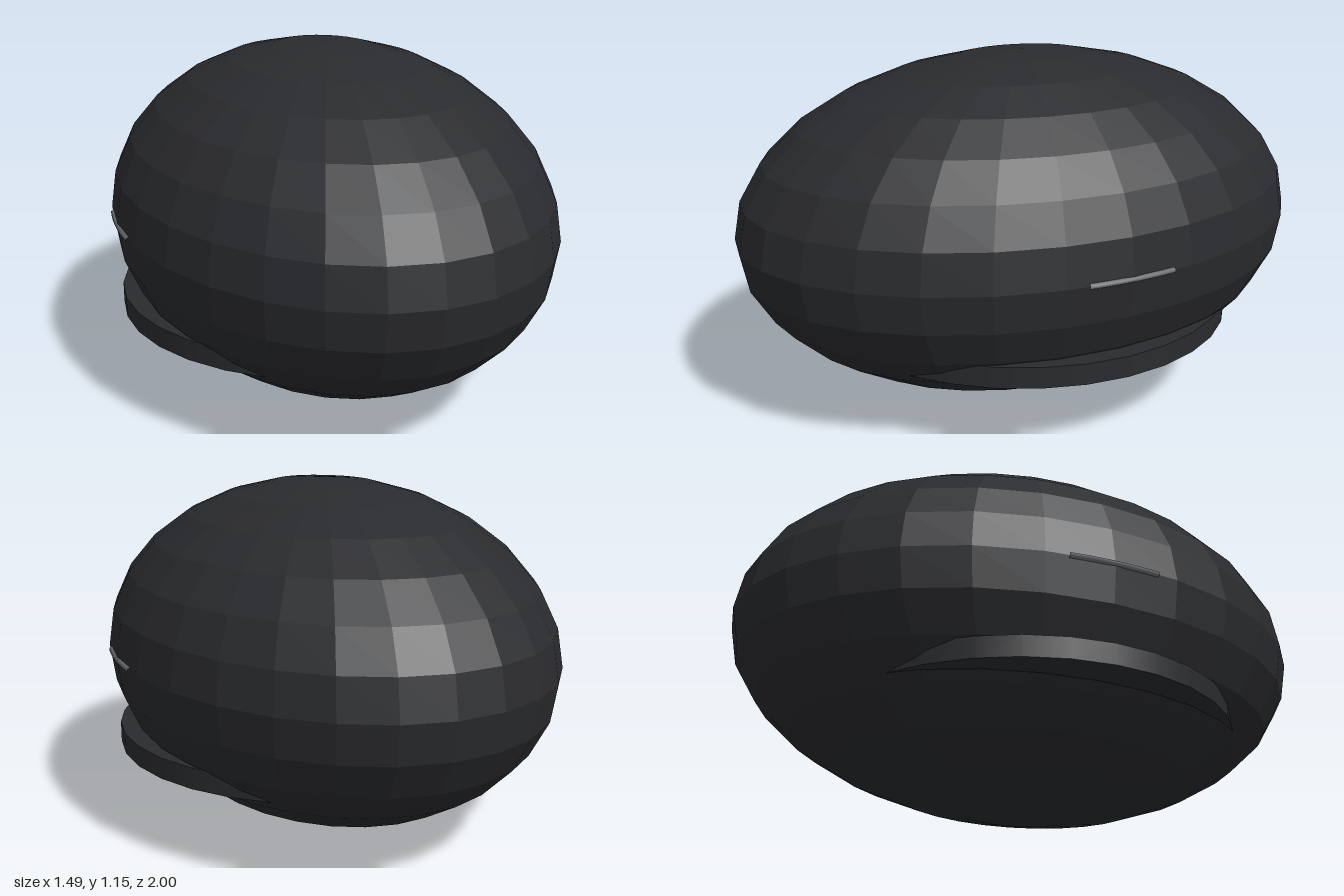
import * as THREE from 'three';

const RX = 0.738, RY = 0.577, RZ = 1, CY = 0.577;

function part(name, geometry, color, flatShading) {
  const mesh = new THREE.Mesh(geometry, new THREE.MeshStandardMaterial({ color, flatShading }));
  mesh.name = name;
  return mesh;
}

// thin rod following the widest line of the shell, one per side
function sideStrip(side) {
  const points = [];
  for (let i = -4; i <= 4; i++) {
    const z = 0.15 * i / 4;
    points.push(new THREE.Vector3(side * (RX - 0.004) * Math.sqrt(1 - z * z), CY, z));
  }
  return new THREE.TubeGeometry(new THREE.CatmullRomCurve3(points), 12, 0.01, 6);
}

export function createModel() {
  const group = new THREE.Group();

  // faceted ellipsoid shell
  const shell = new THREE.SphereGeometry(1, 28, 14);
  shell.scale(RX, RY, RZ);
  shell.translate(0, CY, 0);
  group.add(part('shell', shell, 0x2a2b2e, true));

  // round plate whose rim shows as a crescent ledge on both sides
  const plate = new THREE.CylinderGeometry(0.722, 0.722, 0.07, 32);
  plate.translate(0, 0.283, 0);
  group.add(part('lowerRim', plate, 0x2a2b2e, false));

  // light strips on the sides
  group.add(part('leftStrip', sideStrip(1), 0x66686c, false));
  group.add(part('rightStrip', sideStrip(-1), 0x66686c, false));

  return group;
}
